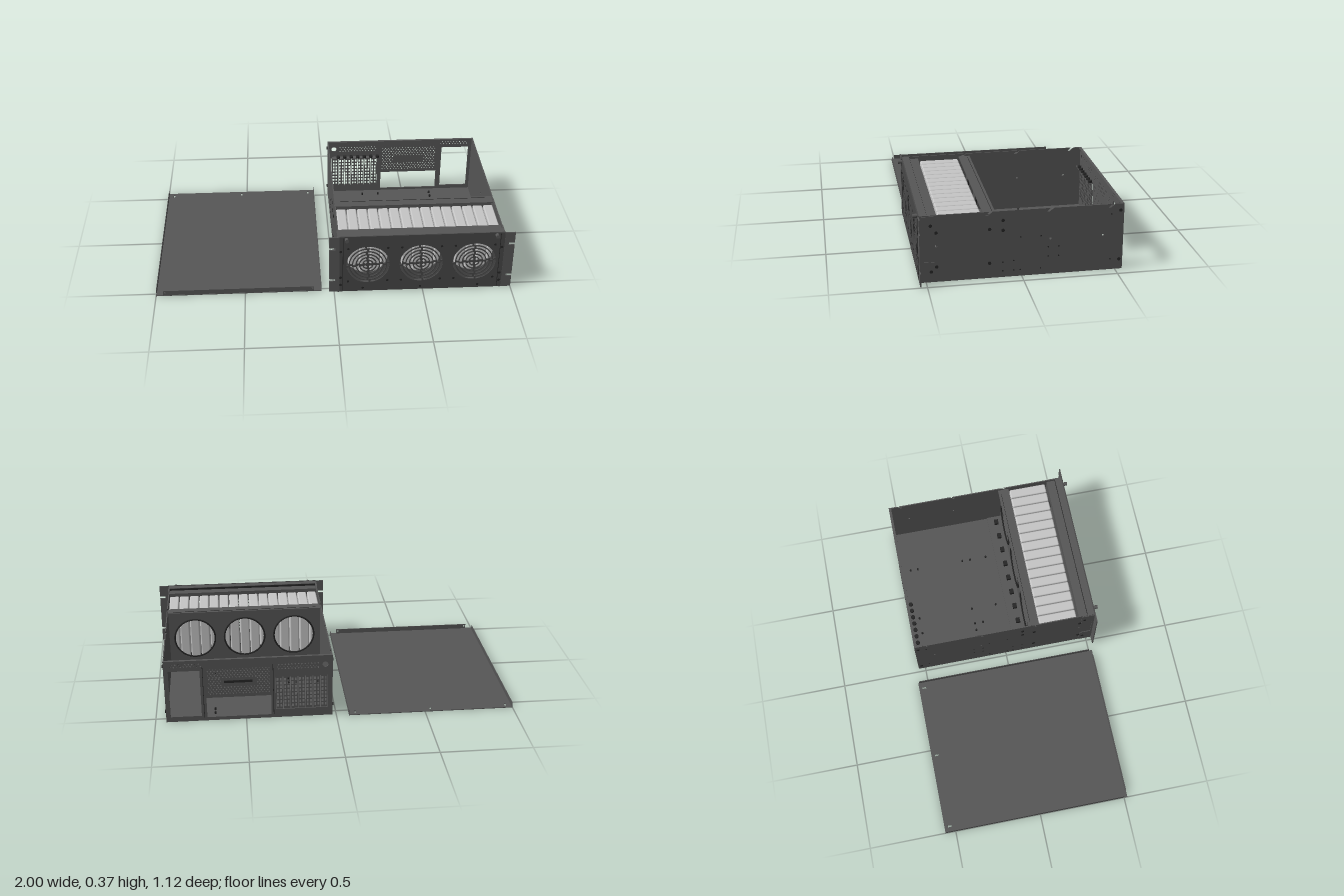
import * as THREE from 'three';
import { RoundedBoxGeometry } from 'three/addons/geometries/RoundedBoxGeometry.js';

const mat = (name, color) => {
  const m = new THREE.MeshStandardMaterial({ color });
  m.name = name;
  return m;
};

export function createModel() {
  const steel = mat('grey steel', 0x565656);
  const face = mat('dark panel', 0x484848);
  const dark = mat('dark fastener', 0x262626);
  const silver = mat('silver drive', 0xc6c6c6);
  const T = 0.006;
  const root = new THREE.Group();
  root.name = 'openServerCase';

  const group = (name, parent = root) => {
    const g = new THREE.Group();
    g.name = name;
    parent.add(g);
    return g;
  };
  const add = (parent, name, geo, material, x = 0, y = 0, z = 0) => {
    const m = new THREE.Mesh(geo, material);
    m.name = name;
    m.position.set(x, y, z);
    parent.add(m);
    return m;
  };
  // box given by its limits
  const box = (parent, name, material, x0, x1, y0, y1, z0, z1) =>
    add(parent, name, new THREE.BoxGeometry(x1 - x0, y1 - y0, z1 - z0), material,
      (x0 + x1) / 2, (y0 + y1) / 2, (z0 + z1) / 2);
  const poly = (pts, Type = THREE.Shape) => new Type(pts.map(([x, y]) => new THREE.Vector2(x, y)));
  const rect = (x0, x1, y0, y1, Type) => poly([[x0, y0], [x1, y0], [x1, y1], [x0, y1]], Type);
  const cut = (s, x0, x1, y0, y1) => s.holes.push(rect(x0, x1, y0, y1, THREE.Path));
  const round = (s, x, y, r) => s.holes.push(new THREE.Path().absarc(x, y, r, 0, Math.PI * 2, true));
  const sheet = (s, depth = T, seg = 12) =>
    new THREE.ExtrudeGeometry(s, { depth, bevelEnabled: false, curveSegments: seg });
  // sheet drawn in z and y, standing in the side plane
  const sideSheet = (s, depth = T) => sheet(s, depth, 8).rotateY(-Math.PI / 2);
  // grid of small diamond holes
  const mesh = (s, x0, x1, y0, y1, step, r) => {
    for (let j = 0, y = y0; y <= y1; y += step * 0.7, j++)
      for (let x = x0 + (j % 2) * step / 2; x <= x1; x += step)
        s.holes.push(poly([[x - r, y], [x, y - r], [x + r, y], [x, y + r]], THREE.Path));
  };
  const fanX = [0.187, 0.485, 0.782], fanY = 0.183;

  // ---- chassis floor and sides
  const chassis = group('chassis');
  box(chassis, 'floor', steel, 0.02, 0.94, 0, T, -0.54, 0.53);
  const sideOutline = [[-0.54, 0], [0.535, 0], [0.535, 0.37]];
  for (const z of [0.17, -0.15, -0.475])
    sideOutline.push([z + 0.0, 0.37], [z + 0.014, 0.358], [z + 0.02, 0.352],
      [z + 0.004, 0.352], [z - 0.004, 0.36], [z - 0.018, 0.37]);
  sideOutline.push([-0.54, 0.37]);
  const side = poly(sideOutline);
  [0.445, -0.15, -0.43].forEach(z => round(side, z, 0.2, 0.006));
  // ear bracket wraps round the front end of the side
  const bracket = poly([[0.535, 0.005], [0.535, 0.365], [0.455, 0.365], [0.455, 0.268],
    [0.52, 0.268], [0.52, 0.113], [0.455, 0.113], [0.455, 0.005]]);
  const bolts = [[0.473, 0.315], [0.473, 0.06], [0.445, 0.275], [0.445, 0.086], [0.17, 0.275],
    [0.17, 0.086], [0.1, 0.265], [0.1, 0.32], [-0.52, 0.335], [-0.52, 0.058]];
  const dots = [[0.1, 0.085], [0.1, 0.036], [0.043, 0.09], [0.043, 0.036], [0.008, 0.036],
    [0.008, 0.22], [-0.1, 0.22], [-0.1, 0.036], [-0.14, 0.155], [-0.195, 0.155],
    [-0.14, 0.102], [-0.195, 0.102], [-0.473, 0.06], [-0.473, 0.315]];
  for (const s of [-1, 1]) {
    const g = group(s > 0 ? 'leftSide' : 'rightSide', chassis);
    const outer = s > 0 ? 0.94 : 0.02;
    add(g, 'sidePanel', sideSheet(side), steel, s > 0 ? outer : outer + T);
    add(g, 'earBracket', sideSheet(bracket, 0.004), steel, s > 0 ? outer + 0.004 : outer);
    for (const [list, r] of [[bolts, 0.009], [dots, 0.004]])
      for (const [z, y] of list)
        add(g, 'sideScrew', new THREE.CylinderGeometry(r, r, 0.004, 10).rotateZ(Math.PI / 2), dark,
          outer + s * (r > 0.005 ? 0.004 : 0.0), y, z);
  }

  // ---- front panel with ring-slotted fan grilles
  const front = group('front');
  const panel = rect(0.02, 0.945, 0.004, 0.372);
  for (const cx of fanX) {
    for (let i = 0; i < 6; i++) {
      const ri = 0.012 + i * 0.019, ro = ri + 0.0135;
      for (let q = 0; q < 4; q++) {
        const gap = 0.005 / ri, a = q * Math.PI / 2 + (i % 2 ? 0.1 : 0);
        const a0 = a + Math.min(gap, 0.35), a1 = a + Math.PI / 2 - Math.min(gap, 0.35);
        panel.holes.push(new THREE.Path().absarc(cx, fanY, ro, a0, a1, false)
          .absarc(cx, fanY, ri, a1, a0, true));
      }
    }
    for (const dx of [-0.11, 0.11]) for (const dy of [-0.11, 0.11])
      add(front, 'fanScrew', new THREE.CylinderGeometry(0.007, 0.007, 0.004, 10).rotateX(Math.PI / 2),
        dark, cx + dx, fanY + dy, 0.536);
  }
  add(front, 'frontPanel', sheet(panel, T, 8), face, 0, 0, 0.53);
  // rack ears with open slots
  for (const s of [-1, 1]) {
    const o = 0.0515, i = -0.005, n = 0.018;
    const pts = [[i, 0.005], [o, 0.005], [o, 0.077], [n, 0.077], [n, 0.09], [o, 0.09], [o, 0.288],
      [n, 0.288], [n, 0.302], [o, 0.302], [o, 0.37], [i, 0.37]].map(([x, y]) => [s * x, y]);
    add(front, 'rackEar', sheet(poly(pts), T), steel, s > 0 ? 0.9485 : 0.0235, 0, 0.531);
    const x = s > 0 ? 0.92 : 0.048;
    box(front, 'panelSeam', dark, x - 0.0015, x + 0.0015, 0.01, 0.365, 0.534, 0.538);
    for (const y of [0.05, 0.1, 0.275])
      add(front, 'panelScrew', new THREE.CylinderGeometry(0.008, 0.008, 0.004, 10).rotateX(Math.PI / 2),
        dark, s > 0 ? 0.93 : 0.035, y, 0.536);
    // thumbscrews
    add(front, 'thumbscrew', new THREE.CylinderGeometry(0.011, 0.011, 0.022, 14).rotateX(Math.PI / 2),
      steel, s > 0 ? 0.898 : 0.068, 0.357, 0.547);
  }
  for (const x of [0.16, 0.485, 0.81])
    add(front, 'lowerScrew', new THREE.CylinderGeometry(0.007, 0.007, 0.004, 10).rotateX(Math.PI / 2),
      dark, x, 0.025, 0.536);
  box(front, 'topFlange', steel, 0.026, 0.934, 0.364, 0.37, 0.49, 0.53);
  box(front, 'innerFlange', steel, 0.026, 0.934, 0.35, 0.356, 0.438, 0.496);
  box(front, 'flangeSeam', dark, 0.026, 0.934, 0.356, 0.368, 0.4885, 0.49);

  // ---- walls before and behind the drives, with round fan openings
  const cage = group('driveCage');
  for (const [name, z] of [['frontWall', 0.438], ['rearWall', 0.15]]) {
    const wall = rect(0.026, 0.934, T, 0.355);
    fanX.forEach(x => round(wall, x, fanY, 0.12));
    add(cage, name, sheet(wall, T, 24), steel, 0, 0, z);
  }
  for (const x of fanX)
    add(cage, 'fanRing', new THREE.TorusGeometry(0.121, 0.005, 6, 40), dark, x, fanY, 0.148);
  box(cage, 'crossFlange', steel, 0.026, 0.934, 0.35, 0.356, 0.135, 0.2);
  box(cage, 'crossLip', dark, 0.055, 0.905, 0.356, 0.3575, 0.149, 0.151);
  box(cage, 'footPlate', steel, 0.026, 0.934, T, 0.016, 0.06, 0.15);
  for (let i = 0; i < 9; i++)
    box(cage, 'footTab', dark, 0.09 + i * 0.098, 0.12 + i * 0.098, 0.016, 0.034, 0.1, 0.125);

  // ---- fifteen upright drives
  const drives = group('drives');
  const driveGeo = new RoundedBoxGeometry(0.056, 0.31, 0.222, 2, 0.008);
  for (let i = 0; i < 15; i++)
    add(drives, 'drive', driveGeo, silver, 0.48 + (i - 7) * 0.0605, 0.188, 0.316);
  box(cage, 'driveTray', dark, 0.026, 0.934, T, 0.033, 0.2, 0.436);

  // ---- rear panel: supply opening, port opening, vents and slots
  const rear = group('rear');
  const back = rect(0.02, 0.94, 0, 0.37);
  cut(back, 0.745, 0.915, 0.03, 0.31);
  cut(back, 0.36, 0.715, 0.02, 0.14);
  cut(back, 0.045, 0.335, 0.05, 0.25);
  mesh(back, 0.37, 0.705, 0.163, 0.208, 0.018, 0.005);
  mesh(back, 0.37, 0.705, 0.262, 0.32, 0.018, 0.005);
  mesh(back, 0.37, 0.44, 0.214, 0.256, 0.018, 0.005);
  mesh(back, 0.635, 0.705, 0.214, 0.256, 0.018, 0.005);
  mesh(back, 0.1, 0.33, 0.3, 0.335, 0.018, 0.005);
  mesh(back, 0.74, 0.91, 0.335, 0.35, 0.018, 0.005);
  round(back, 0.06, 0.315, 0.016);
  add(rear, 'rearPanel', sheet(back, T, 16), steel, 0, 0, -0.54);
  box(rear, 'ventBar', dark, 0.46, 0.615, 0.228, 0.242, -0.543, -0.54);
  for (const x of [0.347, 0.73])
    box(rear, 'rearSeam', dark, x - 0.0015, x + 0.0015, 0.02, 0.33, -0.5415, -0.54);
  // perforated slot covers and their screws
  const cover = rect(-0.0185, 0.0185, 0.045, 0.262);
  for (const x of [-0.009, 0.009])
    for (let j = 0; j < 8; j++) cut(cover, x - 0.005, x + 0.005, 0.062 + j * 0.023, 0.078 + j * 0.023);
  const coverGeo = sheet(cover, 0.004);
  for (let i = 0; i < 7; i++) {
    const x = 0.067 + i * 0.0412;
    add(rear, 'slotCover', coverGeo, steel, x, 0, -0.533);
    box(rear, 'slotTab', steel, x - 0.018, x + 0.018, 0.258, 0.263, -0.533, -0.505);
    add(rear, 'slotScrew', new THREE.CylinderGeometry(0.012, 0.012, 0.012, 12), dark, x + 0.02, 0.269, -0.515);
  }
  box(rear, 'rearTopFlange', steel, 0.026, 0.934, 0.364, 0.37, -0.54, -0.525);

  // ---- board standoffs
  for (const [x, z] of [[0.07, -0.15], [0.195, -0.15], [0.24, -0.15], [0.34, -0.15], [0.67, -0.15],
    [0.67, -0.1], [0.24, -0.1], [0.07, 0], [0.34, 0], [0.67, 0], [0.24, -0.48], [0.34, -0.48],
    [0.67, -0.48], [0.67, -0.435]])
    add(chassis, 'standoff', new THREE.CylinderGeometry(0.006, 0.006, 0.014, 6), dark, x, 0.013, z);

  // ---- detached lid lying beside the case, flanges upward
  const lid = group('lid');
  const top = rect(-1, -0.07, -0.52, 0.56);
  for (const x of [-0.965, -0.535, -0.108]) cut(top, x - 0.005, x + 0.005, 0.518, 0.54);
  add(lid, 'lidPlate', sheet(top, 0.004).rotateX(-Math.PI / 2), steel);
  box(lid, 'lidSideFlange', steel, -1, -0.997, 0.003, 0.03, -0.555, 0.5);
  box(lid, 'lidSideFlange', steel, -0.073, -0.07, 0.003, 0.03, -0.555, 0.5);
  const lip = rect(-0.96, -0.112, 0.002, 0.032);
  for (const x of [-0.95, -0.122]) round(lip, x, 0.02, 0.005);
  add(lid, 'lidFrontFlange', sheet(lip, 0.004), steel, 0, 0, 0.514);
  return root;
}
